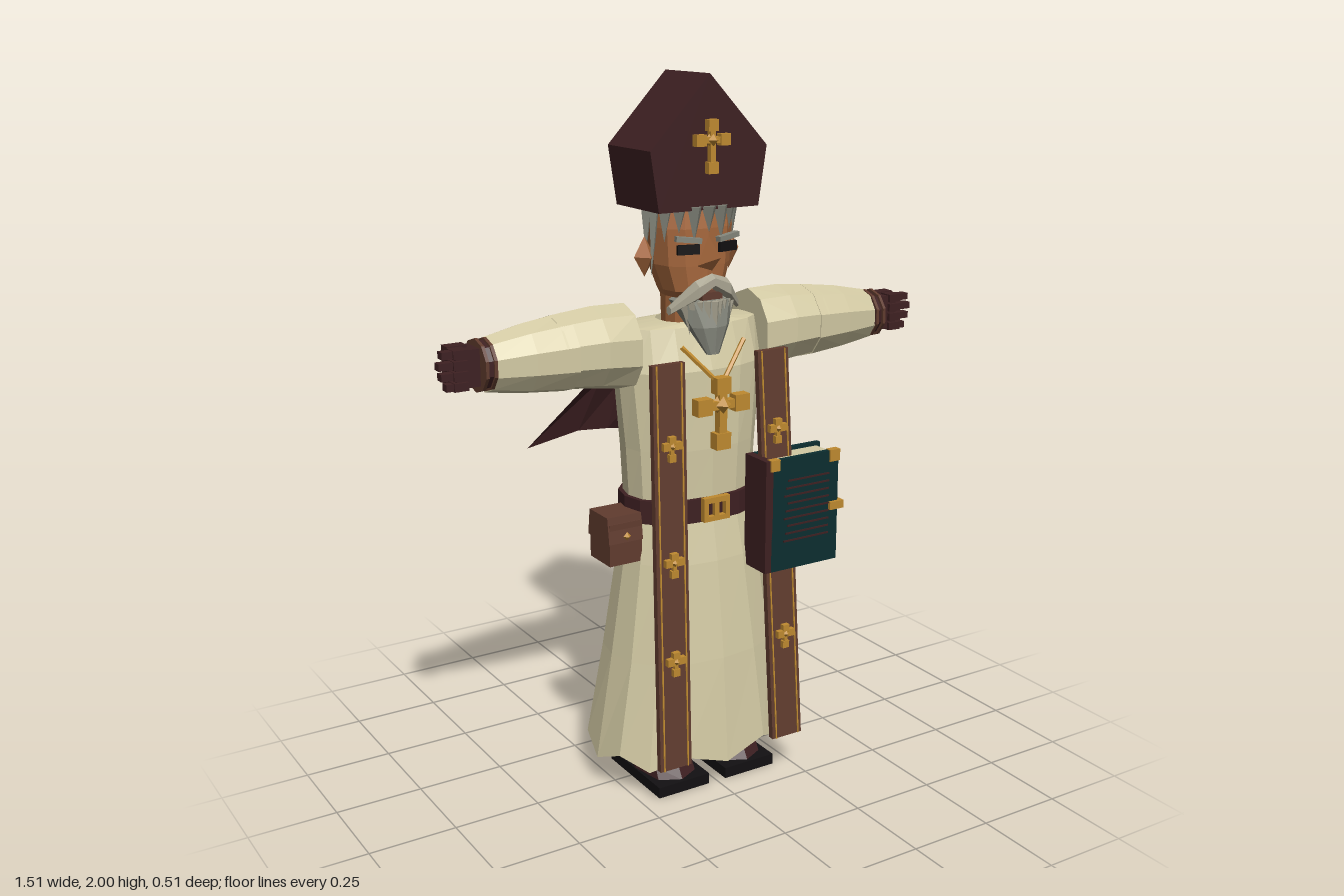
import * as THREE from 'three';
import { mergeGeometries } from 'three/addons/utils/BufferGeometryUtils.js';
import { ConvexGeometry } from 'three/addons/geometries/ConvexGeometry.js';

const mat = (name, color, side = THREE.FrontSide) => {
  const m = new THREE.MeshStandardMaterial({ color, side });
  m.name = name;
  return m;
};
const V = (x, y, z) => new THREE.Vector3(x, y, z);

// Superelliptic cross-section around the y axis
function ringY(y, rx, rz, cz = 0, n = 12, p = 2, cx = 0, lift = () => 0) {
  const f = v => Math.sign(v) * Math.abs(v) ** (2 / p);
  return Array.from({ length: n }, (_, j) => {
    const t = (j / n) * Math.PI * 2;
    return [cx + rx * f(Math.sin(t)), y + lift(j), cz + rz * f(Math.cos(t))];
  });
}
// Cross-section around the x axis
function ringX(x, cy, ry, rz, cz = 0, n = 10) {
  return Array.from({ length: n }, (_, j) => {
    const t = ((j + 0.5) / n) * Math.PI * 2;
    return [x, cy - ry * Math.sin(t), cz + rz * Math.cos(t)];
  });
}
// Skin between cross-sections
function loft(rings, { closed = true, caps = true } = {}) {
  const pos = [], n = rings[0].length;
  const tri = (...p) => p.forEach(q => pos.push(...q));
  for (let i = 0; i < rings.length - 1; i++)
    for (let j = 0; j < (closed ? n : n - 1); j++) {
      const k = (j + 1) % n, lo = rings[i], hi = rings[i + 1];
      tri(lo[j], lo[k], hi[k], lo[j], hi[k], hi[j]);
    }
  if (closed && caps) {
    const a = rings[0], b = rings[rings.length - 1];
    for (let j = 1; j < n - 1; j++) tri(a[0], a[j + 1], a[j], b[0], b[j], b[j + 1]);
  }
  const g = new THREE.BufferGeometry();
  g.setAttribute('position', new THREE.Float32BufferAttribute(pos, 3));
  return g;
}
// Unindexed, position-only copy with one normal per face
function faceted(geo, mirror = false) {
  const src = geo.index ? geo.toNonIndexed() : geo;
  const g = new THREE.BufferGeometry();
  const a = src.attributes.position.array.slice();
  if (mirror)
    for (let i = 0; i < a.length; i += 9)
      for (let k = 0; k < 3; k++) {
        const s = k ? 1 : -1, t = a[i + 3 + k];
        a[i + k] *= s; a[i + 3 + k] = a[i + 6 + k] * s; a[i + 6 + k] = t * s;
      }
  g.setAttribute('position', new THREE.BufferAttribute(a, 3));
  g.computeVertexNormals();
  return g;
}
const merge = list => mergeGeometries(list.map(g => faceted(g)));
// Box given by its extents
const box = (x0, x1, y0, y1, z0, z1) =>
  new THREE.BoxGeometry(x1 - x0, y1 - y0, z1 - z0).translate((x0 + x1) / 2, (y0 + y1) / 2, (z0 + z1) / 2);
// Ornamental cross with knobbed ends, arms meeting above the middle
function cross(w, h, t, x, y, z) {
  const b = t * 0.5, k = t * 0.95, up = h * 0.12;
  const knob = (px, py) => box(px - k, px + k, py - k, py + k, -k * 0.7, k * 0.7);
  return merge([
    box(-b, b, -h / 2, h / 2, -b, b), box(-w / 2, w / 2, up - b, up + b, -b, b),
    knob(0, h / 2 - k), knob(0, -h / 2 + k), knob(w / 2 - k, up), knob(-w / 2 + k, up),
    new THREE.OctahedronGeometry(t * 1.5).translate(0, up, 0),
  ]).translate(x, y, z);
}
// Hanging lock of hair
const lock = (x, y, z, len, r, lean = 0) =>
  new THREE.ConeGeometry(r, len, 4).rotateX(Math.PI).translate(0, -len / 2, 0).rotateZ(lean).translate(x, y, z);

export function createModel() {
  const model = new THREE.Group();
  const cream = mat('creamCloth', 0xd3caa4, THREE.DoubleSide);
  const maroon = mat('maroonCloth', 0x3e2022, THREE.DoubleSide);
  const brown = mat('brownLeather', 0x613c2f);
  const gold = mat('gold', 0xbf8a30);
  const teal = mat('tealCover', 0x0c2e30);
  const skin = mat('skin', 0xaa6a3e);
  const grey = mat('greyHair', 0x85877c);
  const pale = mat('paleBeard', 0xaaa592);
  const black = mat('black', 0x121012);

  const add = (name, geo, material) => {
    const m = new THREE.Mesh(faceted(geo), material);
    m.name = name;
    model.add(m);
  };
  const pair = (name, geo, material) => {
    add(name + 'Left', geo, material);
    add(name + 'Right', faceted(geo, true), material);
  };

  // Robe with a wavy open hem
  const robe = [
    [0.1, 0.305, 0.215, -0.222], [0.4, 0.255, 0.19, -0.19], [0.68, 0.212, 0.155, -0.155],
    [0.83, 0.19, 0.125, -0.133], [1.0, 0.2, 0.13, -0.135], [1.22, 0.222, 0.125, -0.13],
    [1.335, 0.212, 0.085, -0.11], [1.345, 0.09, 0.07, -0.08],
  ].map(([y, rx, f, b], i) =>
    ringY(y, rx, (f - b) / 2, (f + b) / 2, 16, 2.3, 0, j => (i ? 0 : j % 2 ? 0.028 : -0.012)));
  add('robe', loft(robe, { caps: false }), cream);

  // Belt and buckle
  add('belt', loft([0.795, 0.862].map(y => ringY(y, 0.205, 0.142, -0.004, 16, 2.3))), maroon);
  add('buckle', merge([
    box(-0.042, 0.042, 0.85, 0.866, 0.135, 0.152), box(-0.042, 0.042, 0.798, 0.812, 0.135, 0.152),
    box(-0.042, -0.028, 0.81, 0.852, 0.135, 0.152), box(0.028, 0.042, 0.81, 0.852, 0.135, 0.152),
    box(-0.007, 0.007, 0.81, 0.852, 0.135, 0.152),
  ]), gold);

  // Sleeves, cuffs and gloved hands
  pair('upperSleeve', loft([ringX(0.2, 1.285, 0.118, 0.105, -0.005), ringX(0.3, 1.292, 0.112, 0.115, -0.01),
    ringX(0.42, 1.292, 0.1, 0.104, -0.01)]), cream);
  pair('lowerSleeve', loft([ringX(0.385, 1.29, 0.106, 0.11, -0.01), ringX(0.5, 1.288, 0.093, 0.092, -0.008),
    ringX(0.612, 1.285, 0.073, 0.068, -0.005)]), cream);
  pair('cuff', loft([ringX(0.605, 1.288, 0.066, 0.066), ringX(0.638, 1.288, 0.062, 0.062)]), maroon);
  const cuffBand = x => loft([ringX(x, 1.288, 0.071, 0.071), ringX(x + 0.009, 1.288, 0.071, 0.071)]);
  pair('cuffTrim', merge([cuffBand(0.606), cuffBand(0.63)]), brown);
  const hand = [box(0.63, 0.705, 1.24, 1.338, -0.04, 0.032), box(0.66, 0.715, 1.318, 1.345, -0.035, 0.0)];
  for (let i = 0; i < 4; i++) {
    const y = 1.236 + i * 0.028, tip = [0.735, 0.748, 0.754, 0.745][i];
    hand.push(box(0.675, 0.715, y, y + 0.022, -0.035, 0.042), box(0.71, tip, y + 0.002, y + 0.021, 0.012, 0.038));
  }
  pair('hand', merge(hand), maroon);

  // Boots
  pair('sole', box(0.028, 0.195, 0, 0.032, -0.12, 0.16), black);
  pair('boot', loft([[0.03, 0.08, 0.132, 0.018], [0.065, 0.078, 0.118, 0.01], [0.1, 0.078, 0.085, -0.02],
    [0.13, 0.066, 0.072, -0.03], [0.35, 0.066, 0.066, -0.03]].map(([y, rx, rz, cz]) =>
    ringY(y, rx, rz, cz, 8, 2.6, 0.112))), maroon);

  // Back cape with pointed wings
  const half = [
    [[0, 1.29, -0.135], [0.09, 1.3, -0.145], [0.15, 1.32, -0.137], [0.2, 1.34, -0.112]],
    [[0, 1.13, -0.192], [0.11, 1.14, -0.185], [0.19, 1.15, -0.167], [0.245, 1.165, -0.122]],
    [[0, 0.965, -0.26], [0.14, 0.995, -0.215], [0.23, 1.0, -0.222], [0.375, 0.96, -0.258]],
  ];
  const whole = half.map(r => [...r, ...r.slice(1).map(([x, y, z]) => [-x, y, z]).reverse()]);
  const capeRows = whole.map(r => [...r.slice(4), ...r.slice(0, 4)].reverse());
  add('cape', loft(capeRows, { closed: false }), maroon);
  add('capeCross', cross(0.16, 0.2, 0.022, 0, 1.12, -0.205).rotateX(0), gold);

  // Stole strips leaning outward towards the hem
  const at = y => { const t = (1.265 - y) / 1.135; return { x: 0.166 + 0.022 * t, z: 0.17 + 0.07 * t }; };
  const strip = (a, b, thick, proud) => loft([0.13, 1.265].map(y => {
    const { x, z } = at(y), f = z + proud;
    return [[x + a, y, f - thick], [x + a, y, f], [x + b, y, f], [x + b, y, f - thick]];
  }));
  pair('stole', strip(-0.05, 0.05, 0.018, 0), brown);
  pair('stoleTrim', merge([strip(-0.04, -0.036, 0.004, 0.003), strip(0.036, 0.04, 0.004, 0.003)]), gold);
  pair('stoleCrosses', merge([1.04, 0.72, 0.44].map(y => cross(0.056, 0.07, 0.011, at(y).x, y, at(y).z + 0.008))), gold);

  // Pectoral cross on its chain
  add('pectoralCross', cross(0.165, 0.2, 0.024, 0, 1.11, 0.168), gold);
  pair('chain', new THREE.TubeGeometry(new THREE.LineCurve3(V(0.1, 1.295, 0.125), V(0, 1.185, 0.168)), 1, 0.007, 5), gold);

  // Book hanging from the belt
  add('bookPages', box(0.122, 0.338, 0.655, 0.96, 0.148, 0.222), cream);
  add('bookCovers', merge([box(0.125, 0.35, 0.645, 0.97, 0.222, 0.236), box(0.125, 0.35, 0.645, 0.97, 0.134, 0.148)]), teal);
  add('bookSpine', box(0.104, 0.128, 0.645, 0.97, 0.134, 0.236), maroon);
  const rules = [];
  for (let i = 0; i < 9; i++) rules.push(box(0.165 + (i % 3) * 0.006, 0.318, 0.727 + i * 0.022, 0.732 + i * 0.022, 0.235, 0.239));
  add('bookRules', merge(rules), maroon);
  add('bookFittings', merge([
    box(0.118, 0.148, 0.94, 0.972, 0.22, 0.241), box(0.318, 0.352, 0.938, 0.972, 0.22, 0.241),
    box(0.318, 0.365, 0.797, 0.82, 0.22, 0.246), box(0.342, 0.354, 0.8, 0.817, 0.15, 0.236),
  ]), gold);

  // Belt pouch
  add('pouch', box(-0.292, -0.19, 0.69, 0.81, -0.045, 0.065), brown);
  add('pouchFlap', loft([
    [[-0.296, 0.755, 0.07], [-0.245, 0.755, 0.07], [-0.19, 0.755, 0.07], [-0.19, 0.755, -0.05], [-0.296, 0.755, -0.05]],
    [[-0.296, 0.83, 0.06], [-0.245, 0.83, 0.06], [-0.19, 0.83, 0.06], [-0.19, 0.83, -0.04], [-0.296, 0.83, -0.04]],
  ]), brown);
  add('pouchButton', new THREE.OctahedronGeometry(0.012).translate(-0.24, 0.772, 0.07), gold);

  // Head, ears and nose
  add('head', loft([[1.32, 0.066, 0.062, -0.01], [1.41, 0.07, 0.07, -0.005], [1.43, 0.085, 0.085, 0.008],
    [1.5, 0.108, 0.098, 0], [1.6, 0.115, 0.102, 0], [1.67, 0.112, 0.098, -0.004]].map(([y, rx, rz, cz]) =>
    ringY(y, rx, rz, cz, 12, 2.5))), skin);
  pair('ear', new THREE.OctahedronGeometry(1).scale(0.032, 0.055, 0.036).translate(0.135, 1.522, -0.005), skin);
  add('nose', new ConvexGeometry([V(0, 1.59, 0.09), V(-0.03, 1.5, 0.09), V(0.03, 1.5, 0.09), V(0, 1.53, 0.162), V(0, 1.49, 0.12)]), skin);
  pair('eye', new THREE.BoxGeometry(0.062, 0.026, 0.009).rotateY(0.2).translate(0.062, 1.548, 0.1), black);
  pair('eyebrow', new THREE.BoxGeometry(0.072, 0.014, 0.018).rotateZ(0.12).rotateY(0.2).translate(0.062, 1.574, 0.1), grey);

  // Moustache, mouth and beard
  pair('moustache', loft([ringX(0, 1.462, 0.02, 0.022, 0.118, 6), ringX(0.05, 1.438, 0.028, 0.026, 0.115, 6),
    ringX(0.108, 1.385, 0.012, 0.014, 0.075, 6)]), pale);
  add('mouth', box(-0.032, 0.032, 1.412, 1.432, 0.09, 0.122), brown);
  add('beard', loft([[1.265, 0.02, 0.012, 0.125], [1.34, 0.062, 0.045, 0.1], [1.41, 0.095, 0.065, 0.065]].map(
    ([y, rx, rz, cz]) => ringY(y, rx, rz, cz, 10))), grey);
  const whiskers = [];
  for (let i = -4; i <= 4; i++)
    whiskers.push(lock(i * 0.019, 1.41, 0.137 - Math.abs(i) * 0.009, 0.15 - Math.abs(i) * 0.014, 0.012, -i * 0.05));
  add('whiskers', merge(whiskers), pale);

  // Hair locks under the hat
  const locks = [];
  for (let i = 0; i < 18; i++) {
    const t = (i / 18) * Math.PI * 2, front = Math.cos(t) > 0.35;
    const len = front ? 0.07 + (i % 2) * 0.025 : 0.1 + (i % 3) * 0.045;
    locks.push(lock(Math.sin(t) * 0.118, 1.66, Math.cos(t) * 0.104, len, front ? 0.024 : 0.016, Math.sin(t) * 0.06));
  }
  add('hair', merge(locks), grey);

  // Pointed hat with a cross
  const hat = new THREE.Shape([[-0.155, 1.65], [0.155, 1.65], [0.18, 1.81], [0, 2], [-0.18, 1.81]].map(p => new THREE.Vector2(...p)));
  add('hat', new THREE.ExtrudeGeometry(hat, { depth: 0.222, bevelEnabled: false }).translate(0, 0, -0.116), maroon);
  add('hatCross', cross(0.105, 0.14, 0.016, 0, 1.815, 0.116), gold);

  return model;
}
